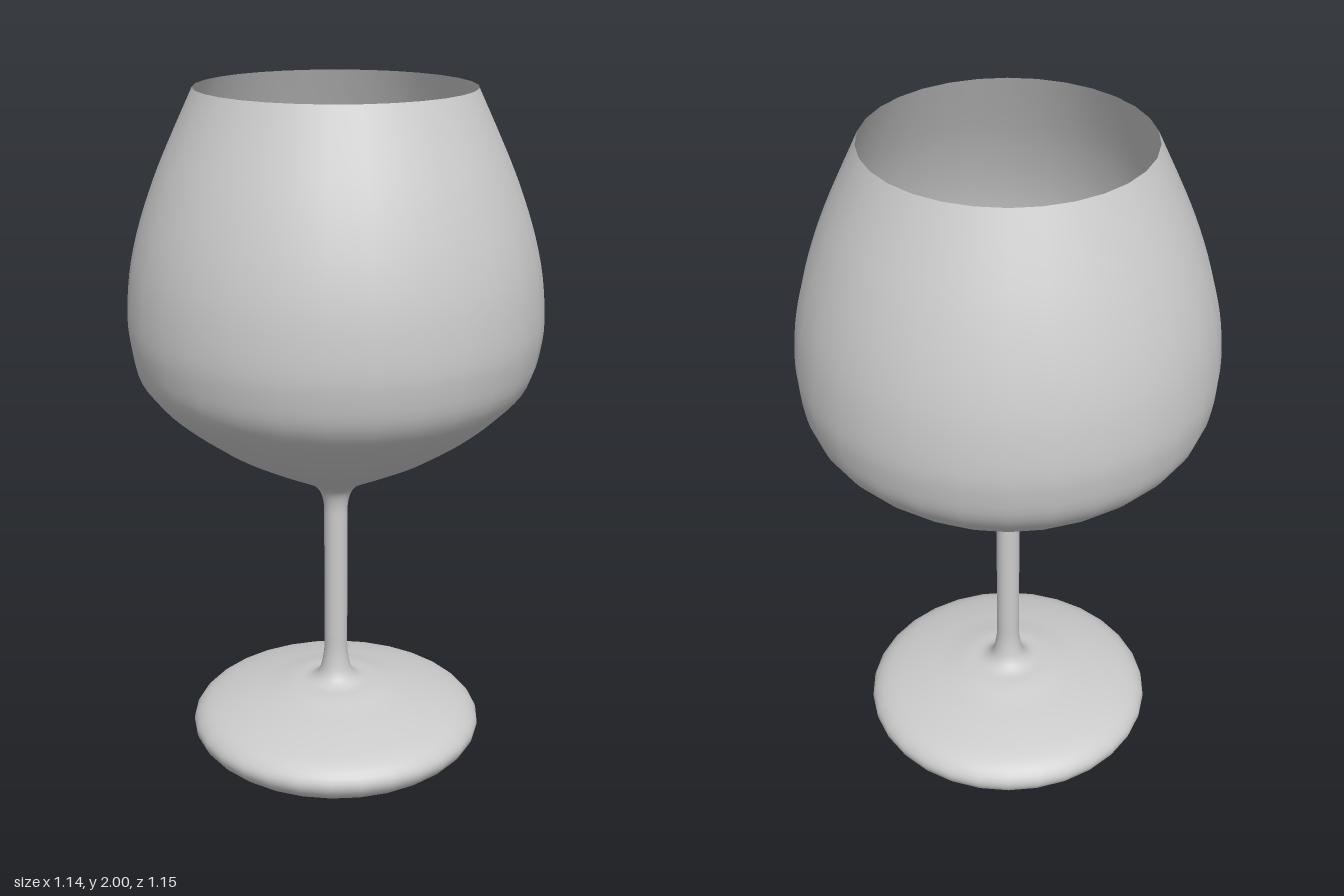
import * as THREE from 'three';

const SIDES = 30;

// Smooth profile through a few [radius, height] points
function profile(points, samples) {
  const curve = new THREE.SplineCurve(points.map(([r, y]) => new THREE.Vector2(r, y)));
  return curve.getPoints(samples).map(p => new THREE.Vector2(Math.max(p.x, 0), p.y));
}

function turned(name, points, material) {
  const mesh = new THREE.Mesh(new THREE.LatheGeometry(points, SIDES), material);
  mesh.name = name;
  return mesh;
}

export function createModel() {
  const glass = new THREE.MeshStandardMaterial({ color: 0xcccccc, side: THREE.DoubleSide });
  const wine = new THREE.MeshStandardMaterial({ color: 0x6b0d0f });
  const group = new THREE.Group();
  group.name = 'wineGlass';

  // Thick lens-shaped foot, flaring up into the stem
  group.add(turned('foot', profile([
    [0, 0], [0.14, 0.007], [0.25, 0.02], [0.34, 0.043], [0.405, 0.083], [0.428, 0.125],
    [0.408, 0.16], [0.36, 0.186], [0.27, 0.212], [0.2, 0.227], [0.13, 0.244], [0.08, 0.25],
    [0.05, 0.275], [0.038, 0.32], [0.034, 0.36], [0.034, 0.4],
  ], 45), glass));

  // Straight stem
  group.add(turned('stem', [new THREE.Vector2(0.034, 0.4), new THREE.Vector2(0.034, 0.78)], glass));

  // Bowl: thin wall, open at the rim
  const bowlPoints = [
    [0.034, 0.78], [0.035, 0.81], [0.043, 0.845], [0.062, 0.872], [0.1, 0.896], [0.2, 0.946],
    [0.3, 1.0], [0.4, 1.068], [0.495, 1.15], [0.547, 1.22], [0.568, 1.3], [0.575, 1.38],
    [0.565, 1.5], [0.541, 1.61], [0.505, 1.72], [0.46, 1.83], [0.38, 2.0],
  ];
  const wall = profile(bowlPoints, 48);
  group.add(turned('bowl', wall, glass));

  // Wine: follows the wall slightly inside, closed by a flat surface
  const level = 1.3;
  const body = wall.filter(p => p.y > 0.88 && p.y < level)
    .map(p => new THREE.Vector2(p.x - 0.008, p.y + 0.006));
  body.unshift(new THREE.Vector2(0, body[0].y));
  group.add(turned('wineBody', body, wine));

  const top = body[body.length - 1];
  const surface = new THREE.Mesh(new THREE.CircleGeometry(top.x, SIDES), wine);
  surface.name = 'wineSurface';
  surface.rotation.set(-Math.PI / 2, 0, Math.PI / 2);
  surface.position.y = top.y;
  group.add(surface);

  return group;
}
